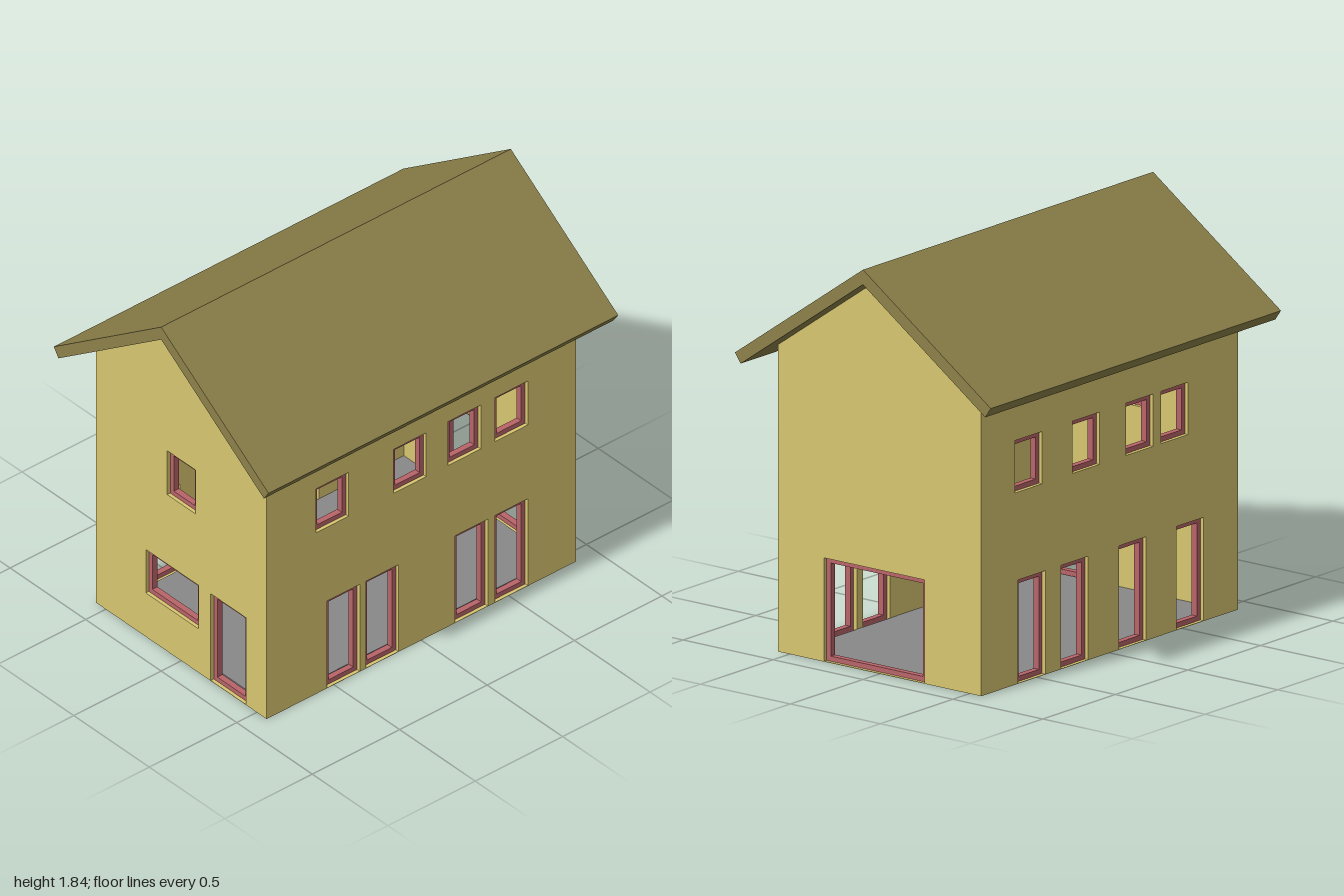
import * as THREE from 'three';

const mat = (color) => new THREE.MeshStandardMaterial({ color });

const W = 0.565, D = 0.885, T = 0.065; // half width, half depth, wall thickness
const SLOPE = 0.7, APEX = 1.776;       // roof underside
const BAR = 0.023, FRAME_DEPTH = 0.03; // window frame section

function rectPath(PathType, x0, y0, x1, y1) {
  return new PathType([[x0, y0], [x1, y0], [x1, y1], [x0, y1]].map(([x, y]) => new THREE.Vector2(x, y)));
}

function extrude(shape, depth) {
  return new THREE.ExtrudeGeometry(shape, { depth, bevelEnabled: false });
}

export function createModel() {
  const model = new THREE.Group();
  model.name = 'house';
  const wallMat = mat(0xd8c670), roofMat = mat(0x8c8049), frameMat = mat(0xb86468), floorMat = mat(0x888888);

  // A wall with framed openings [x0, y0, x1, y1], outer face at distance 'out' from the centre
  function addWall(name, shape, openings, out, angle) {
    const group = new THREE.Group();
    group.name = name;
    group.rotation.y = angle;
    for (const [x0, y0, x1, y1] of openings) {
      const low = Math.max(y0, 0.002);
      shape.holes.push(rectPath(THREE.Path, x0, low, x1, y1));
      const outline = rectPath(THREE.Shape, x0, low, x1, y1);
      outline.holes.push(rectPath(THREE.Path, x0 + BAR, low + BAR, x1 - BAR, y1 - BAR));
      const frame = new THREE.Mesh(extrude(outline, FRAME_DEPTH), frameMat);
      frame.name = y0 > 0 ? 'windowFrame' : 'doorFrame';
      frame.position.z = out - (T + FRAME_DEPTH) / 2;
      group.add(frame);
    }
    const wall = new THREE.Mesh(extrude(shape, T), wallMat);
    wall.name = name + 'Panel';
    wall.position.z = out - T;
    group.add(wall);
    model.add(group);
  }

  // Gable walls
  const gable = () => new THREE.Shape([
    [-W, 0], [W, 0], [W, APEX - SLOPE * W], [0, APEX], [-W, APEX - SLOPE * W],
  ].map(([x, y]) => new THREE.Vector2(x, y)));
  addWall('frontWall', gable(), [
    [-0.093, 0.839, 0.093, 1.074],
    [-0.235, 0.234, 0.113, 0.467],
    [0.195, 0, 0.429, 0.467],
  ], D, 0);
  addWall('backWall', gable(), [[-0.308, 0, 0.25, 0.467]], D, Math.PI);

  // Long side walls: openings listed by their smallest z, all equally wide
  const OPEN = 0.187;
  const sides = [
    { name: 'leftWall', s: 1, upper: [0.417, -0.028, -0.34, -0.609], lower: [0.352, 0.131, -0.38, -0.609] },
    { name: 'rightWall', s: -1, upper: [0.353, 0.112, -0.257, -0.652], lower: [0.46, 0.064, -0.335, -0.63] },
  ];
  for (const { name, s, upper, lower } of sides) {
    const row = (list, y0, y1) => list.map((z) => {
      const u = s > 0 ? -z - OPEN : z;
      return [u, y0, u + OPEN, y1];
    });
    const panel = rectPath(THREE.Shape, -D + T, 0, D - T, 1.42);
    addWall(name, panel, [...row(upper, 0.863, 1.098), ...row(lower, 0, 0.467)], W, s * Math.PI / 2);
  }

  // Ground floor slab
  const floor = new THREE.Mesh(new THREE.BoxGeometry(2 * (W - T), 0.01, 2 * (D - T)), floorMat);
  floor.name = 'floor';
  floor.position.y = 0.005;
  model.add(floor);

  // Pitched roof with square-cut eaves
  const chevron = new THREE.Shape([
    [0, 1.843], [-0.711, 1.345], [-0.68, 1.3], [0, APEX], [0.68, 1.3], [0.711, 1.345],
  ].map(([x, y]) => new THREE.Vector2(x, y)));
  const roof = new THREE.Mesh(extrude(chevron, 2), roofMat);
  roof.name = 'roof';
  roof.position.z = -1;
  model.add(roof);

  return model;
}
